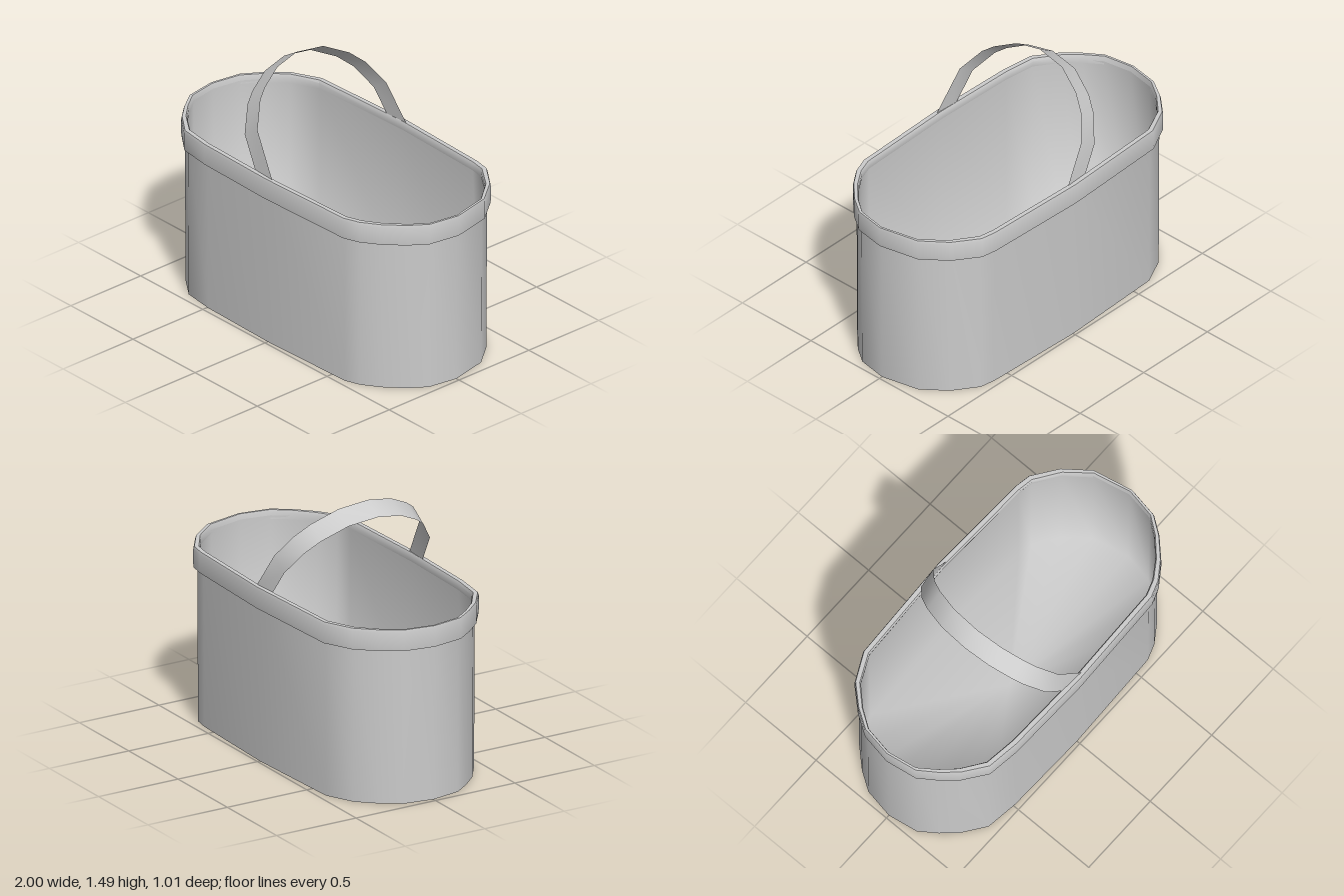
import * as THREE from 'three';
import { toCreasedNormals } from 'three/addons/utils/BufferGeometryUtils.js';

// Plan outline of the rim: long sides slightly bowed, rounded ends (x, z)
const OUTLINE = [
  [-1, 0], [-0.97, -0.18], [-0.9, -0.29], [-0.8, -0.4], [-0.64, -0.48],
  [0, -0.508], [0.61, -0.486], [0.7, -0.47], [0.84, -0.37], [0.95, -0.23],
  [1, 0], [0.97, 0.18], [0.9, 0.28], [0.8, 0.38], [0.7, 0.45], [0.61, 0.483],
  [0, 0.503], [-0.5, 0.49], [-0.69, 0.465], [-0.82, 0.37], [-0.9, 0.28], [-0.97, 0.18],
];

const material = new THREE.MeshStandardMaterial({ color: 0xcccccc, side: THREE.DoubleSide });

// Joins rows of points into a smooth surface
function skin(rows, closed, crease) {
  const n = rows[0].length;
  const index = [];
  for (let i = 0; i < rows.length - 1; i++) {
    for (let j = 0; j < (closed ? n : n - 1); j++) {
      const k = (j + 1) % n;
      const a = i * n + j, b = i * n + k, c = b + n, d = a + n;
      index.push(a, d, c, a, c, b);
    }
  }
  const g = new THREE.BufferGeometry();
  g.setAttribute('position', new THREE.Float32BufferAttribute(rows.flat(2), 3));
  g.setIndex(index);
  g.computeVertexNormals();
  return crease ? toCreasedNormals(g, crease) : g;
}

// Sweeps the outline through rings of [x scale, z scale, height]
function loft(rings, crease) {
  return skin(rings.map(([sx, sz, y]) => OUTLINE.map(([x, z]) => [x * sx, y, z * sz])), true, crease);
}

function part(name, geometry) {
  const mesh = new THREE.Mesh(geometry, material);
  mesh.name = name;
  return mesh;
}

export function createModel() {
  const model = new THREE.Group();
  model.name = 'basket';

  // Outer wall with flat base
  model.add(part('body', loft([[0, 0, 0], [0.98, 0.955, 0], [0.984, 0.96, 0.95]], 0.7)));

  // Inside wall running softly into the floor
  model.add(part('lining', loft([[0.976, 0.94, 0.97], [0.968, 0.93, 0.02], [0, 0, 0.02]])));

  // Raised band around the opening
  model.add(part('rim', loft([
    [0.978, 0.95, 0.88], [0.998, 0.998, 0.88], [1, 1, 0.9], [1, 1, 0.985],
    [0.996, 0.99, 1], [0.984, 0.94, 1], [0.98, 0.925, 0.985], [0.976, 0.935, 0.95],
  ], 0.7)));

  // Flat strap handle leaning to one side; path of its upper edge (z, y)
  const path = [
    [-0.482, 0.99], [-0.455, 1.2], [-0.38, 1.32], [-0.3, 1.39], [-0.155, 1.463], [0.02, 1.485],
    [0.175, 1.457], [0.3, 1.395], [0.36, 1.35], [0.45, 1.23], [0.48, 0.99],
  ];
  const upper = path.map(([z, y]) => [0.04 - (y - 0.99) * 0.65, y, z]);
  const lower = upper.map(([x, y, z]) => [x - 0.103, y - 0.066, z]);
  model.add(part('handle', skin([upper, lower], false)));

  return model;
}
